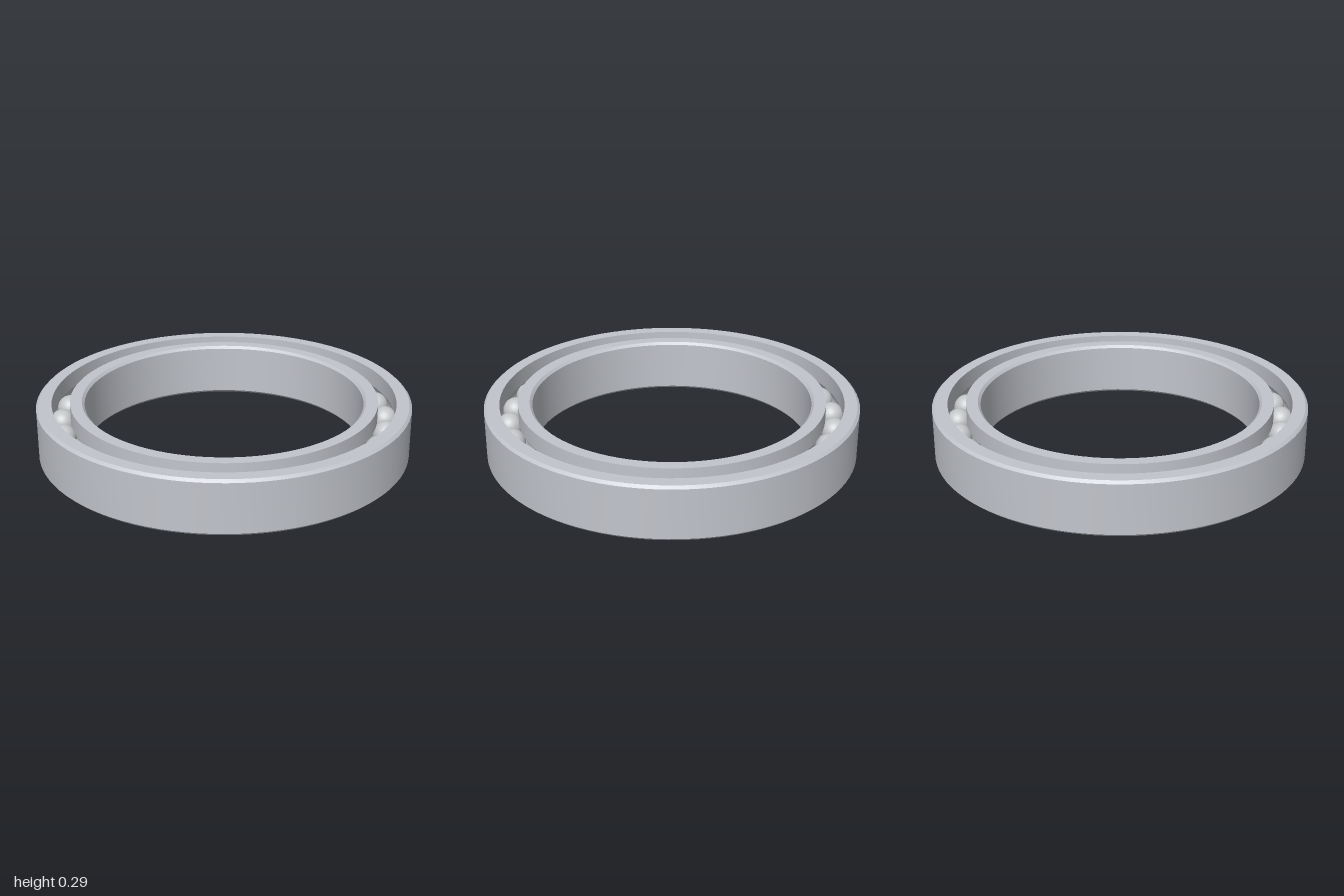
import * as THREE from 'three';
import { toCreasedNormals } from 'three/addons/utils/BufferGeometryUtils.js';

const HEIGHT = 0.295, MID = HEIGHT / 2;
const BORE = 0.745, OUTER = 1, CHAMFER = 0.014;
const INNER_RACE = 0.822, OUTER_RACE = 0.918;
const PITCH = 0.87, BALL_RADIUS = 0.07, BALLS = 28;

// Ball groove in a race wall: side is +1 for the outer ring, -1 for the inner ring
function groove(race, side) {
  const r = BALL_RADIUS + 0.002, half = Math.acos(Math.abs(race - PITCH) / r), pts = [];
  for (let i = 0; i <= 12; i++) {
    const a = half * (i / 6 - 1);
    pts.push([PITCH + side * r * Math.cos(a), MID + r * Math.sin(a)]);
  }
  return pts;
}

// Closed counter-clockwise section, revolved with crisp edges
function ring(name, section, material) {
  const pts = [...section, section[0]].map(([x, y]) => new THREE.Vector2(x, y));
  const mesh = new THREE.Mesh(toCreasedNormals(new THREE.LatheGeometry(pts, 96), 0.4), material);
  mesh.name = name;
  return mesh;
}

export function createModel() {
  const group = new THREE.Group();
  group.name = 'ballBearing';
  const steel = new THREE.MeshStandardMaterial({ color: 0xc2c5cc });
  steel.name = 'ring steel';
  const ballSteel = new THREE.MeshStandardMaterial({ color: 0xc4c6c9 });
  ballSteel.name = 'ball steel';

  // Outer ring: chamfered outside, grooved inside
  group.add(ring('outerRing', [
    [OUTER_RACE, 0], [OUTER - CHAMFER, 0], [OUTER, CHAMFER],
    [OUTER, HEIGHT - CHAMFER], [OUTER - CHAMFER, HEIGHT], [OUTER_RACE, HEIGHT],
    ...groove(OUTER_RACE, 1).reverse(),
  ], steel));

  // Inner ring: grooved outside, chamfered bore
  group.add(ring('innerRing', [
    [BORE + CHAMFER, 0], [INNER_RACE, 0],
    ...groove(INNER_RACE, -1),
    [INNER_RACE, HEIGHT], [BORE + CHAMFER, HEIGHT], [BORE, HEIGHT - CHAMFER], [BORE, CHAMFER],
  ], steel));

  // Evenly spaced balls
  const ballGeometry = new THREE.SphereGeometry(BALL_RADIUS, 32, 20);
  for (let i = 0; i < BALLS; i++) {
    const a = (i / BALLS) * Math.PI * 2;
    const ball = new THREE.Mesh(ballGeometry, ballSteel);
    ball.name = 'ball' + (i + 1);
    ball.position.set(PITCH * Math.sin(a), MID, PITCH * Math.cos(a));
    group.add(ball);
  }
  return group;
}
